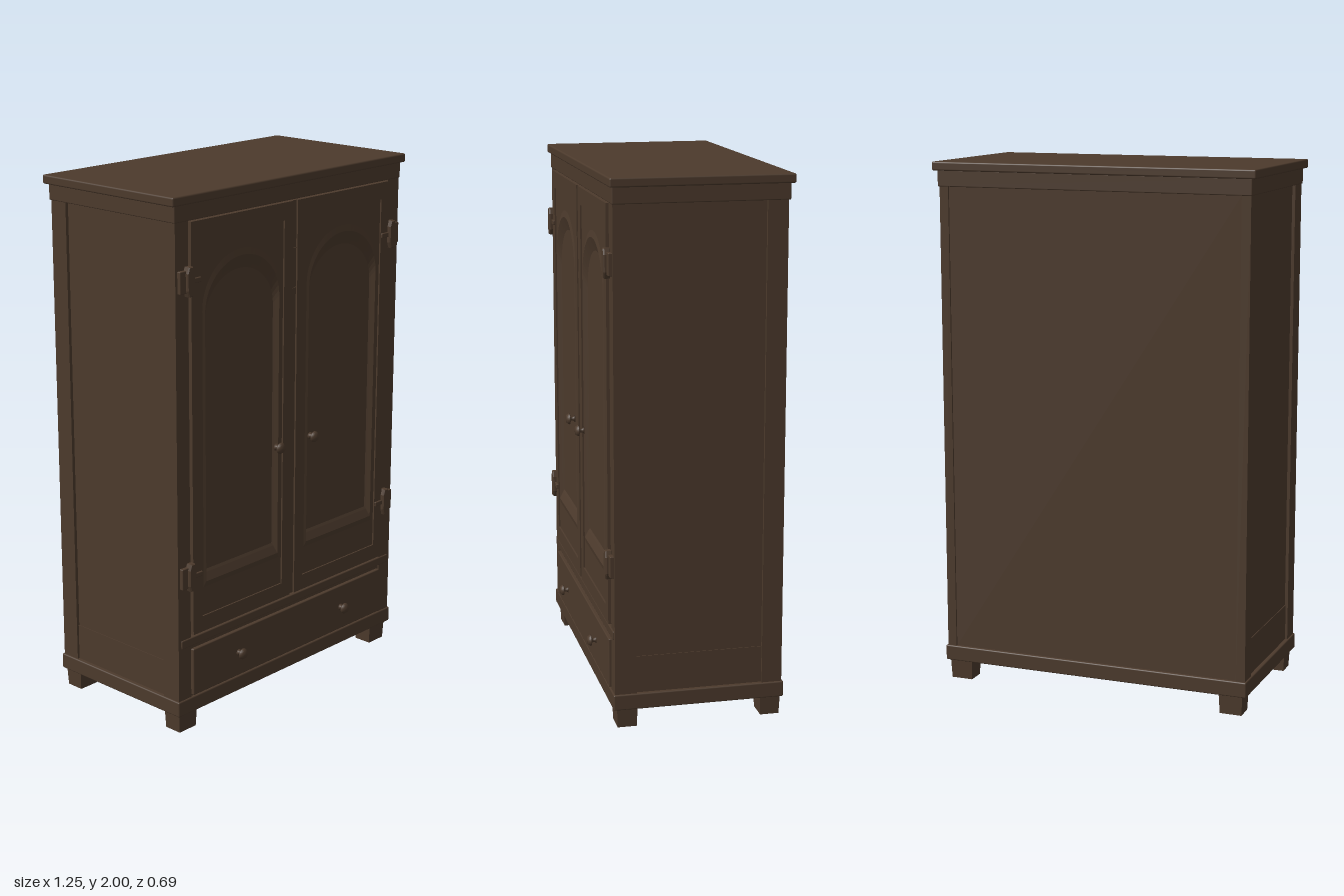
import * as THREE from 'three';
import { RoundedBoxGeometry } from 'three/addons/geometries/RoundedBoxGeometry.js';

const wood = new THREE.MeshStandardMaterial({ color: 0x4c3a2c });
wood.name = 'dark brown wood';

function add(parent, name, geometry, x = 0, y = 0, z = 0) {
  const mesh = new THREE.Mesh(geometry, wood);
  mesh.name = name;
  mesh.position.set(x, y, z);
  parent.add(mesh);
  return mesh;
}

// Box given by its limits; r rounds the edges
function block(parent, name, [x0, x1], [y0, y1], [z0, z1], r = 0) {
  const s = [x1 - x0, y1 - y0, z1 - z0];
  const geometry = r ? new RoundedBoxGeometry(...s, 2, r) : new THREE.BoxGeometry(...s);
  return add(parent, name, geometry, (x0 + x1) / 2, (y0 + y1) / 2, (z0 + z1) / 2);
}

// Arched outline, anticlockwise from the lower left corner
function archPoints(halfWidth, bottom, spring, top) {
  const points = [new THREE.Vector2(-halfWidth, bottom), new THREE.Vector2(halfWidth, bottom)];
  for (let i = 0; i <= 28; i++) {
    const a = (i / 28) * Math.PI;
    points.push(new THREE.Vector2(halfWidth * Math.cos(a), spring + (top - spring) * Math.sin(a)));
  }
  return points;
}

function rectPoints(hw, y0, y1) {
  return [[-hw, y0], [hw, y0], [hw, y1], [-hw, y1]].map(p => new THREE.Vector2(...p));
}

function plate(outer, hole, depth) {
  const shape = new THREE.Shape(outer);
  if (hole) shape.holes.push(new THREE.Path(hole));
  return new THREE.ExtrudeGeometry(shape, { depth, bevelEnabled: false });
}

// Strip joining two outlines at different depths, facing the front
function moulding(outer, zOuter, inner, zInner) {
  const pos = [];
  outer.forEach((a, i) => {
    const j = (i + 1) % outer.length;
    const b = outer[j], c = inner[j], d = inner[i];
    pos.push(a.x, a.y, zOuter, b.x, b.y, zOuter, c.x, c.y, zInner);
    pos.push(a.x, a.y, zOuter, c.x, c.y, zInner, d.x, d.y, zInner);
  });
  const g = new THREE.BufferGeometry();
  g.setAttribute('position', new THREE.Float32BufferAttribute(pos, 3));
  g.computeVertexNormals();
  return g;
}

function knob(parent, name, x, y, z) {
  const profile = [[0, 0], [0.014, 0], [0.008, 0.006], [0.007, 0.016], [0.021, 0.02], [0.021, 0.024], [0.015, 0.033], [0, 0.035]];
  const g = new THREE.LatheGeometry(profile.map(p => new THREE.Vector2(...p)), 20);
  g.rotateX(Math.PI / 2);
  add(parent, name, g, x, y, z);
}

function door(side) {
  const group = new THREE.Group();
  group.name = side > 0 ? 'leftDoor' : 'rightDoor';
  group.position.x = side * 0.275;
  const field = rectPoints(0.217, 0.44, 1.84);
  const arches = [
    archPoints(0.203, 0.55, 1.58, 1.775),
    archPoints(0.193, 0.57, 1.57, 1.75),
    archPoints(0.182, 0.6, 1.55, 1.715),
    archPoints(0.177, 0.61, 1.54, 1.7),
  ];
  const depths = [0.304, 0.308, 0.296, 0.291];
  add(group, 'doorFrame', plate(rectPoints(0.262, 0.38, 1.905), field, 0.03), 0, 0, 0.28);
  add(group, 'doorField', plate(field, arches[0], 0.024), 0, 0, 0.28);
  for (let i = 0; i < 3; i++) {
    add(group, 'archMoulding', moulding(arches[i], depths[i], arches[i + 1], depths[i + 1]));
  }
  add(group, 'archPanel', plate(arches[3], null, 0.011), 0, 0, 0.28);
  knob(group, 'doorKnob', -side * 0.18, 0.995, 0.31);
  return group;
}

// Hinge with a tall leaf, a post plate and an arm on the door
function hinge(side, y) {
  const group = new THREE.Group();
  group.name = 'hinge';
  group.position.set(side * 0.55, y, 0);
  const span = (a, b) => (side > 0 ? [a, b] : [-b, -a]);
  block(group, 'hingePostPlate', span(0.01, 0.045), [-0.04, 0.04], [0.295, 0.314], 0.003);
  block(group, 'hingeArm', span(-0.057, 0), [-0.009, 0.009], [0.3, 0.317], 0.003);
  const leaf = new THREE.Shape([[-0.008, -0.05], [0.008, -0.05], [0.015, -0.03], [0.015, 0.03],
    [0.008, 0.05], [-0.008, 0.05], [-0.015, 0.03], [-0.015, -0.03]].map(p => new THREE.Vector2(...p)));
  add(group, 'hingeLeaf', new THREE.ExtrudeGeometry(leaf,
    { depth: 0.018, bevelThickness: 0.005, bevelSize: 0.003, bevelSegments: 1 }), 0, 0, 0.302);
  return group;
}

export function createModel() {
  const model = new THREE.Group();
  model.name = 'wardrobe';

  // Carcass and back
  block(model, 'carcass', [-0.593, 0.593], [0.1, 1.95], [-0.314, 0.28]);
  block(model, 'backPanel', [-0.57, 0.57], [0.13, 1.91], [-0.318, -0.31]);

  // Cornice, frieze and plinth
  block(model, 'corniceTop', [-0.627, 0.627], [1.967, 2], [-0.345, 0.314], 0.006);
  block(model, 'frieze', [-0.61, 0.61], [1.908, 1.97], [-0.332, 0.303], 0.004);
  block(model, 'plinth', [-0.612, 0.612], [0.073, 0.132], [-0.332, 0.306], 0.005);

  for (const s of [-1, 1]) {
    const span = (a, b) => (s > 0 ? [a, b] : [-b, -a]);
    // Corner posts and side rails
    block(model, 'frontPost', span(0.542, 0.605), [0.12, 1.92], [0.22, 0.3]);
    block(model, 'backPost', span(0.57, 0.605), [0.12, 1.92], [-0.325, -0.25]);
    block(model, 'sideLowerPanel', span(0.58, 0.596), [0.12, 0.27], [-0.26, 0.23]);

    // Tapered feet
    for (const z of [0.253, -0.285]) {
      const g = new THREE.CylinderGeometry(0.046 * Math.SQRT2, 0.042 * Math.SQRT2, 0.08, 4);
      g.rotateY(Math.PI / 4);
      g.scale(1, 1, 0.84);
      const foot = g.toNonIndexed();
      foot.computeVertexNormals();
      add(model, 'foot', foot, s * 0.55, 0.04, z);
    }

    // Doors with hinges, and drawer knobs
    model.add(door(s));
    for (const y of [0.612, 1.7]) model.add(hinge(s, y));
    knob(model, 'drawerKnob', s * 0.295, 0.232, 0.308);
  }

  // Strip between the doors with two catches
  block(model, 'meetingStrip', [-0.013, 0.013], [0.38, 1.905], [0.27, 0.303]);
  for (const y of [1.57, 1.72]) block(model, 'catch', [-0.009, 0.009], [y - 0.012, y + 0.012], [0.3, 0.307]);

  // Rail and drawer
  block(model, 'drawerRail', [-0.592, 0.592], [0.337, 0.37], [0.26, 0.305], 0.004);
  block(model, 'drawerSurround', [-0.545, 0.545], [0.12, 0.34], [0.26, 0.295]);
  block(model, 'drawerFront', [-0.537, 0.537], [0.138, 0.322], [0.27, 0.309], 0.004);

  return model;
}
